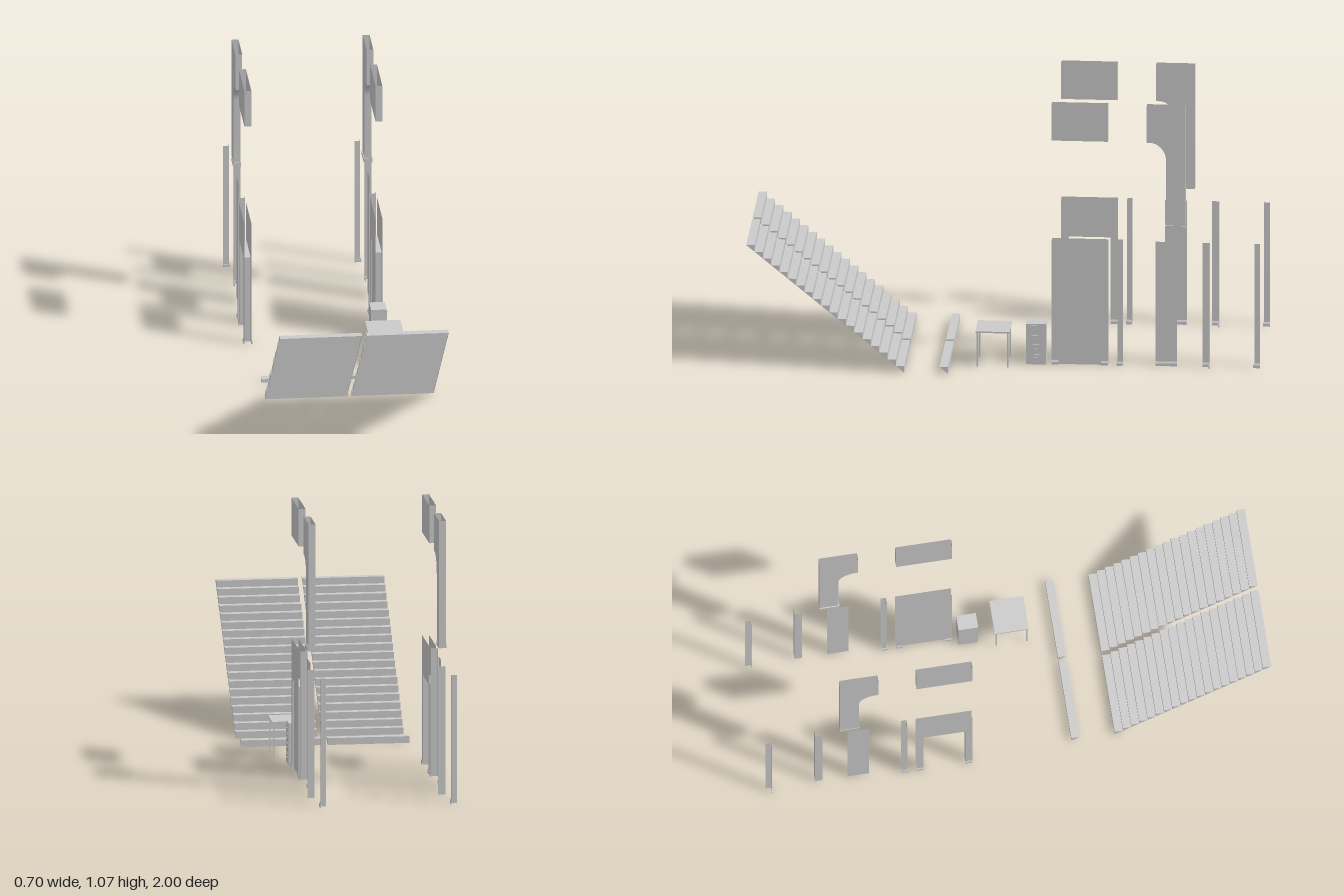
import * as THREE from 'three';
import { toCreasedNormals } from 'three/addons/utils/BufferGeometryUtils.js';

const solid = new THREE.MeshStandardMaterial({ color: 0xcccccc });
const sheetMat = new THREE.MeshStandardMaterial({ color: 0xcccccc, side: THREE.DoubleSide });

const WALL_H = 0.51;   // lower wall height
const HALF = 0.0135;   // half wall thickness
const TRIM_H = 0.018;
const TRIM_OUT = 0.004;
const BEVEL = 0.007;

function add(parent, name, geometry, material = solid) {
  const mesh = new THREE.Mesh(geometry, material);
  mesh.name = name;
  parent.add(mesh);
  return mesh;
}

// Box given by its ranges on x, y and z
function box(parent, name, x0, x1, y0, y1, z0, z1) {
  const mesh = add(parent, name, new THREE.BoxGeometry(x1 - x0, y1 - y0, z1 - z0));
  mesh.position.set((x0 + x1) / 2, (y0 + y1) / 2, (z0 + z1) / 2);
}

// Flat sheet facing sideways, outlined in (z, y)
function sideSheet(parent, name, points, x) {
  const geo = new THREE.ShapeGeometry(new THREE.Shape(points.map(p => new THREE.Vector2(...p))));
  add(parent, name, geo.rotateY(-Math.PI / 2), sheetMat).position.x = x;
}

// Open strip swept from c0 to c1; place(a, b, c) maps each path point to xyz
function ribbon(parent, name, path, c0, c1, place) {
  const pos = [], index = [];
  path.forEach(([a, b], i) => {
    pos.push(...place(a, b, c0), ...place(a, b, c1));
    if (i) index.push(2 * i - 2, 2 * i - 1, 2 * i, 2 * i, 2 * i - 1, 2 * i + 1);
  });
  const geo = new THREE.BufferGeometry();
  geo.setAttribute('position', new THREE.Float32BufferAttribute(pos, 3));
  geo.setIndex(index);
  add(parent, name, toCreasedNormals(geo, 0.5), sheetMat);
}
const acrossX = (z, y, x) => [x, y, z];
const upY = (x, z, y) => [x, y, z];

// Skirting strip along z, standing out from a face at x
function skirting(parent, x, out, y, z0, z1, bevel) {
  const s = new THREE.Shape();
  s.moveTo(x, y);
  s.lineTo(x + out, y);
  s.lineTo(x + out, y + TRIM_H - bevel);
  s.lineTo(x, y + TRIM_H);
  const geo = new THREE.ExtrudeGeometry(s, { depth: z1 - z0, bevelEnabled: false });
  add(parent, 'skirting', geo).position.z = z0;
}

// Skirting on both faces of a wall
function trim(parent, y, z0, z1, out, bevel) {
  for (const s of [-1, 1]) skirting(parent, s * HALF, s * out, y, z0, z1, bevel);
}

// Step shell: upright riser, flat tread and triangular ends, open underneath
function step(parent, x0, x1, y, z, rise, run) {
  const profile = [[z, y], [z, y + rise], [z + run, y + rise]];
  ribbon(parent, 'riserAndTread', profile, x0, x1, acrossX);
  for (const x of [x0, x1]) sideSheet(parent, 'stepEnd', profile, x);
}

function stairs(root) {
  const n = 19, rise = WALL_H / n, run = 0.618 / n;
  for (const [x0, x1] of [[-0.315, 0.007], [0.025, 0.347]]) {
    const flight = new THREE.Group();
    flight.name = 'stairFlight';
    for (let i = 0; i < n; i++) step(flight, x0, x1, i * rise, 0.382 + i * run, rise, run);
    root.add(flight);
    step(root, x0, x1, 0, 0.211, rise, run);
  }
}

function table(root) {
  const g = new THREE.Group();
  g.name = 'table';
  box(g, 'tableTop', 0.116, 0.255, 0.14, 0.146, -0.024, 0.11);
  for (const x of [0.12, 0.245])
    for (const z of [-0.02, 0.1]) box(g, 'tableLeg', x, x + 0.006, 0, 0.14, z, z + 0.006);
  root.add(g);
}

function cabinet(root) {
  const g = new THREE.Group();
  g.name = 'drawerCabinet';
  box(g, 'cabinetBody', 0.146, 0.207, 0, 0.166, -0.163, -0.085);
  for (let i = 0; i < 4; i++) {
    const y = 0.006 + i * 0.039;
    box(g, 'drawerFront', 0.206, 0.209, y, y + 0.036, -0.159, -0.089);
    box(g, 'drawerHandle', 0.209, 0.213, y + 0.018, y + 0.022, -0.134, -0.116);
  }
  root.add(g);
}

// Wall with a door opening, optionally filled by a recessed door
function doorWall(g, closed) {
  const f = -0.184, b = -0.405, df = -0.212, db = -0.378, dh = 0.355;
  const outline = [[f, 0], [f, WALL_H], [b, WALL_H], [b, 0], [db, 0], [db, dh], [df, dh], [df, 0]];
  for (const s of [-1, 1]) sideSheet(g, 'doorWallFace', outline, s * HALF);
  ribbon(g, 'doorReveal', [[df, 0], [df, dh], [db, dh], [db, 0]], -HALF, HALF, acrossX);
  trim(g, 0, df, f, TRIM_OUT, BEVEL);
  trim(g, 0, b, db, TRIM_OUT, BEVEL);
  if (closed) box(g, 'door', -0.008, 0.008, 0, dh, db, df);
}

// Upper wall block, open on top
function lintel(g) {
  const f = -0.184, b = -0.405, y0 = 0.92, y1 = 1.07;
  for (const s of [-1, 1]) sideSheet(g, 'upperWallFace', [[f, y0], [f, y1], [b, y1], [b, y0]], s * HALF);
  ribbon(g, 'upperWallEdge', [[f, y1], [f, y0], [b, y0], [b, y1]], -HALF, HALF, acrossX);
}

// Half arch on its pillar, open at top and foot
function halfArch(g, trimOut) {
  const f = -0.556, b = -0.708, jamb = -0.633, y0 = 0.563, y1 = 1.07, ry = 0.075;
  const curve = [[f, 0.92]];
  for (let i = 0; i <= 12; i++) {
    const t = i / 12 * Math.PI / 2;
    curve.push([-0.566 + (jamb + 0.566) * Math.sin(t), 0.92 - ry + ry * Math.cos(t)]);
  }
  curve.push([jamb, y0]);
  for (const s of [-1, 1]) sideSheet(g, 'archFace', [[f, y1], ...curve, [b, y0], [b, y1]], s * HALF);
  ribbon(g, 'archUnderside', [[f, y1], ...curve], -HALF, HALF, acrossX);
  ribbon(g, 'archBack', [[b, y0], [b, y1]], -HALF, HALF, acrossX);
  trim(g, y0, b, jamb, trimOut, 0);
  box(g, 'skirting', -HALF - trimOut, HALF + trimOut, y0, y0 + TRIM_H, jamb, jamb + trimOut);
}

// Narrow wall end, flat panel and the two corner pieces
function smallPieces(g) {
  ribbon(g, 'wallEnd', [[-HALF, -0.462], [-HALF, -0.442], [HALF, -0.442], [HALF, -0.462]], 0, WALL_H, upY);
  trim(g, 0, -0.462, -0.438, TRIM_OUT, BEVEL);
  box(g, 'skirting', -HALF, HALF, 0, TRIM_H - BEVEL, -0.442, -0.438);

  sideSheet(g, 'flatPanel', [[-0.59, 0], [-0.59, WALL_H], [-0.675, WALL_H], [-0.675, 0]], 0.002);
  skirting(g, 0.002, TRIM_OUT, 0, -0.675, -0.59, BEVEL);

  ribbon(g, 'innerCorner', [[0.002, -0.774], [0.002, -0.804], [0.03, -0.804]], 0, WALL_H, upY);
  skirting(g, 0.002, TRIM_OUT, 0, -0.804, -0.774, BEVEL);
  box(g, 'skirting', 0.002, 0.03, 0, TRIM_H - BEVEL, -0.804, -0.8);

  ribbon(g, 'outerCorner', [[-0.021, -0.977], [0.002, -0.977], [0.002, -1]], 0, WALL_H, upY);
  skirting(g, 0.002, TRIM_OUT, 0, -1, -0.973, BEVEL);
  box(g, 'skirting', -0.021, 0.002, 0, TRIM_H - BEVEL, -0.977, -0.973);
}

export function createModel() {
  const root = new THREE.Group();
  root.name = 'buildingKit';
  stairs(root);
  table(root);
  cabinet(root);
  // Two rows of wall pieces; the second has its door closed and a wider arch foot
  for (const [x, closed, archTrim] of [[-0.328, false, 0.0015], [0.186, true, TRIM_OUT]]) {
    const row = new THREE.Group();
    row.name = 'wallPieces';
    row.position.x = x;
    doorWall(row, closed);
    lintel(row);
    halfArch(row, archTrim);
    smallPieces(row);
    root.add(row);
  }
  return root;
}
